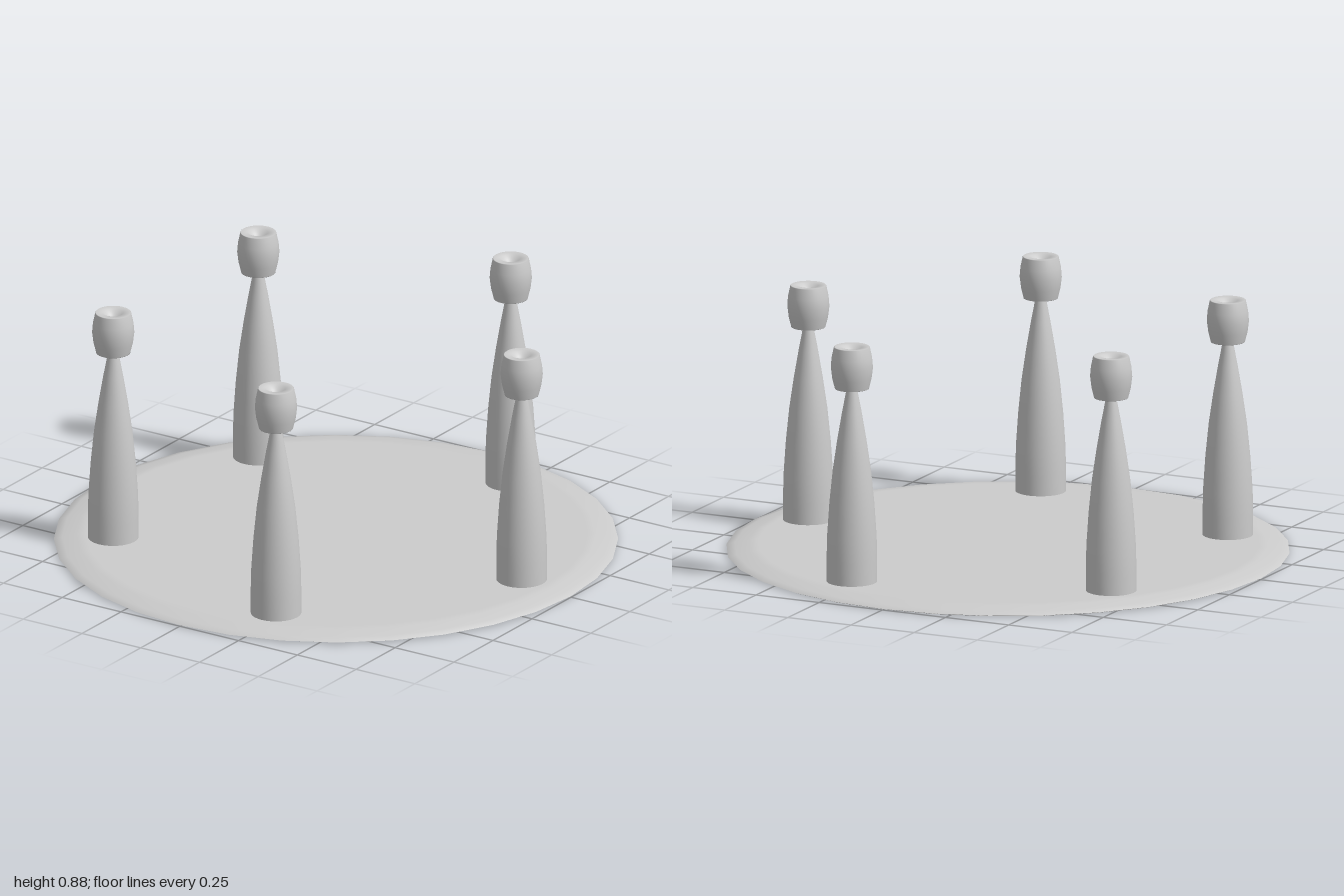
import * as THREE from 'three';

const material = new THREE.MeshStandardMaterial({ color: 0xcccccc, side: THREE.DoubleSide });

function lathe(name, points, segments) {
  const profile = points.map(([r, y]) => new THREE.Vector2(r, y));
  const mesh = new THREE.Mesh(new THREE.LatheGeometry(profile, segments), material);
  mesh.name = name;
  return mesh;
}

export function createModel() {
  const model = new THREE.Group();
  model.name = 'discWithPillars';

  // Thin round plate with a bevelled rim
  model.add(lathe('basePlate', [
    [0, 0], [0.99, 0], [1, 0.004], [0.97, 0.012], [0.92, 0.022], [0.89, 0.025], [0, 0.025],
  ], 32));

  // Five tapering pillars, evenly spaced around the plate
  const count = 5, ring = 0.79;
  for (let i = 0; i < count; i++) {
    const angle = (i / count) * Math.PI * 2;
    const pillar = new THREE.Group();
    pillar.name = 'pillar' + (i + 1);
    pillar.position.set(Math.cos(angle) * ring, 0, Math.sin(angle) * ring);

    pillar.add(lathe('shaft', [
      [0.09, 0.02], [0.09, 0.1], [0.088, 0.19], [0.08, 0.31], [0.068, 0.43],
      [0.052, 0.54], [0.035, 0.64], [0.018, 0.73], [0.016, 0.75],
    ], 32));

    // Barrel-shaped head with a dimple in its top
    pillar.add(lathe('head', [
      [0, 0.728], [0.061, 0.728], [0.061, 0.729], [0.07, 0.765], [0.075, 0.805],
      [0.072, 0.84], [0.064, 0.878], [0.062, 0.88], [0.036, 0.878], [0.026, 0.862], [0, 0.85],
    ], 32));
    model.add(pillar);
  }
  return model;
}
